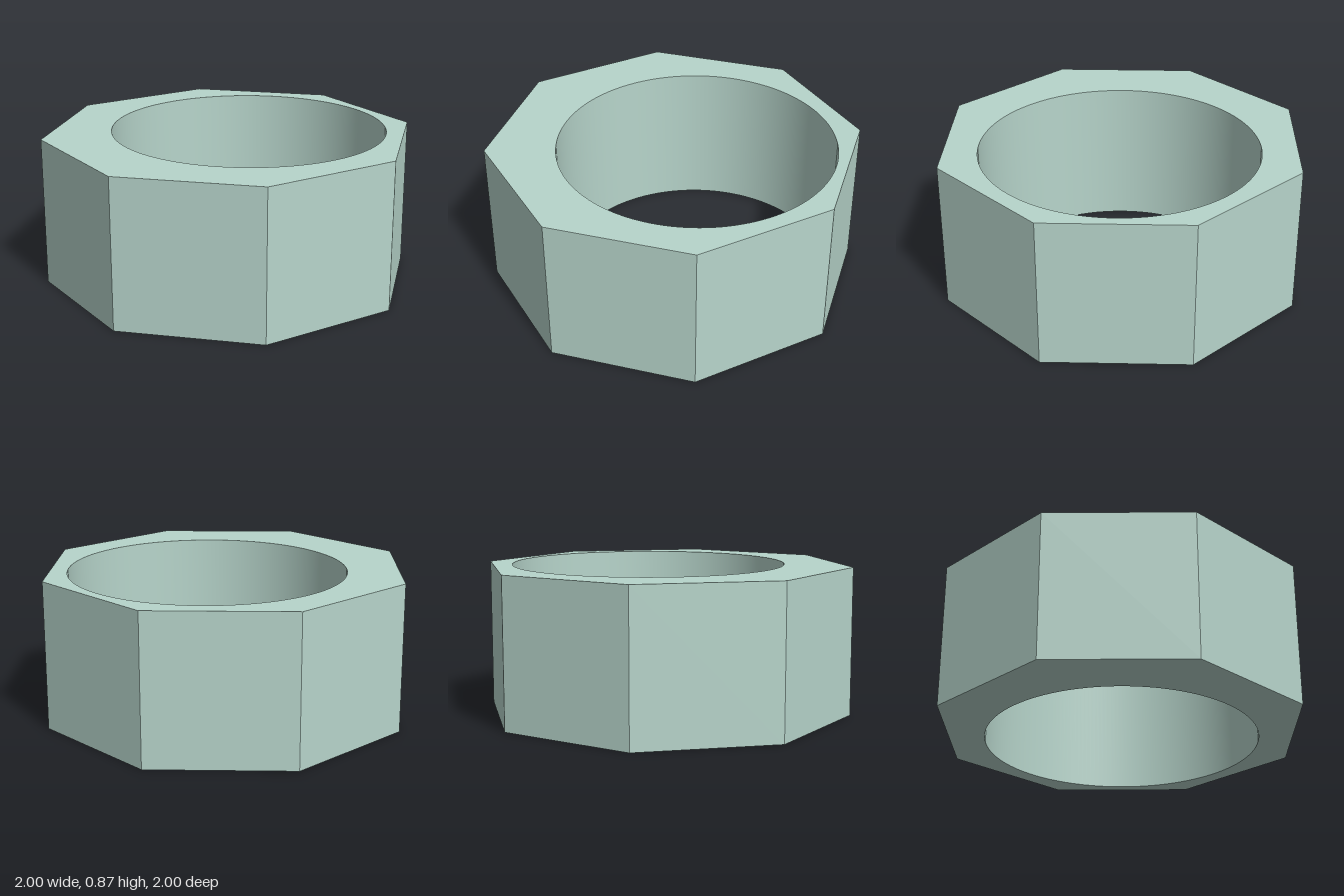
import * as THREE from 'three';
import { toCreasedNormals } from 'three/addons/utils/BufferGeometryUtils.js';

export function createModel() {
  const group = new THREE.Group();
  const height = 0.865;

  // Octagonal outline, flat sides on the axes (apothem 1)
  const outline = [];
  for (let i = 0; i < 8; i++) {
    const angle = ((i + 0.5) * Math.PI) / 4;
    const radius = 1 / Math.cos(Math.PI / 8);
    outline.push(new THREE.Vector2(Math.cos(angle) * radius, Math.sin(angle) * radius));
  }
  const shape = new THREE.Shape(outline);

  // Round bore, offset towards +x
  const bore = new THREE.Path();
  bore.absarc(0.135, -0.006, 0.802, 0, Math.PI * 2, true);
  shape.holes.push(bore);

  // Extrude upwards, smooth bore and sharp outer edges
  const geometry = new THREE.ExtrudeGeometry(shape, { depth: height, bevelEnabled: false, curveSegments: 96 });
  geometry.rotateX(-Math.PI / 2);

  const ring = new THREE.Mesh(
    toCreasedNormals(geometry, 0.5),
    new THREE.MeshStandardMaterial({ color: 0xb7d5cb })
  );
  ring.name = 'octagonalRing';
  group.add(ring);
  return group;
}
